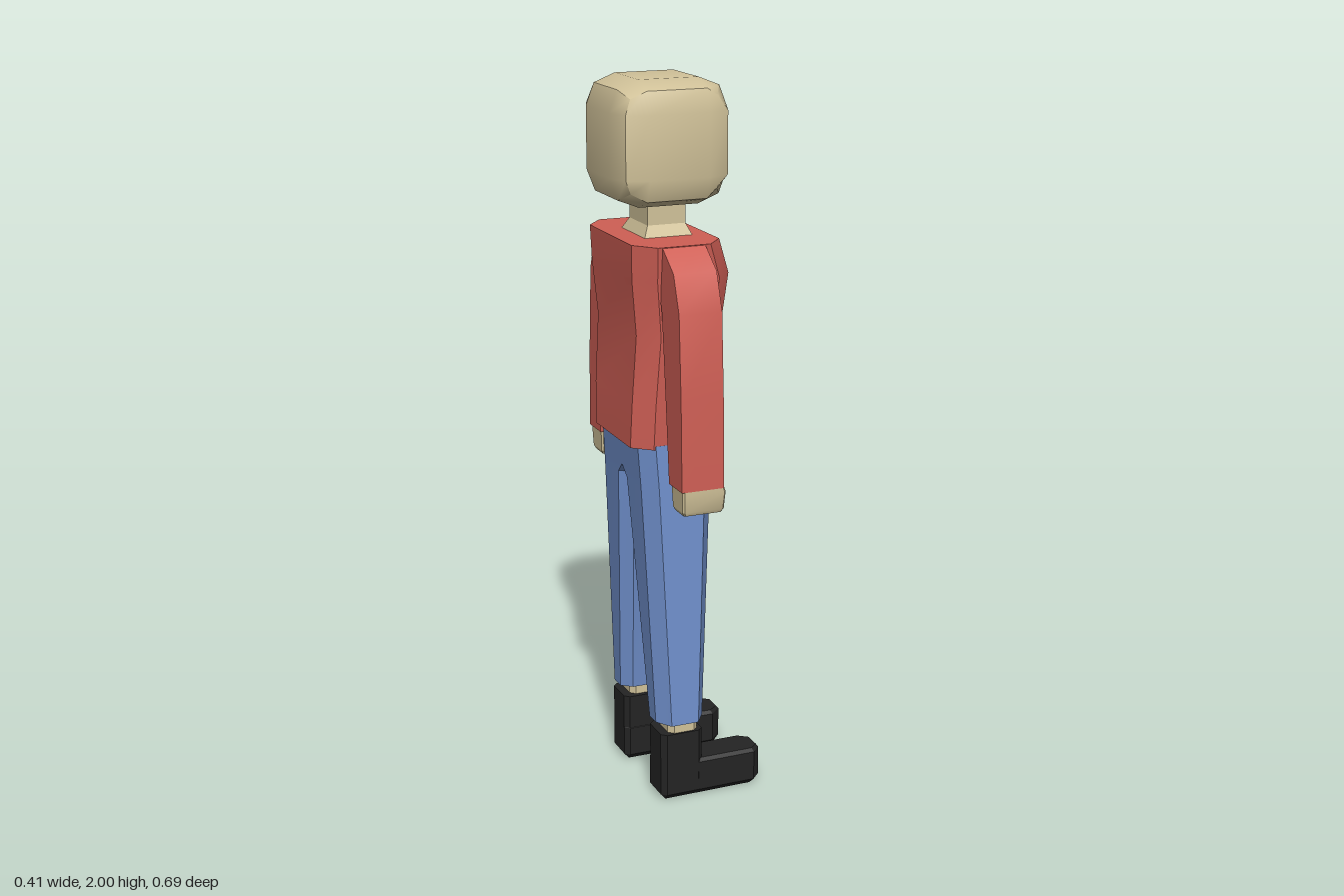
import * as THREE from 'three';
import { toCreasedNormals } from 'three/addons/utils/BufferGeometryUtils.js';

const mat = (color) => new THREE.MeshStandardMaterial({ color });

// Chamfered rectangle at height y; the inner (z0) side may have its own chamfer
const ring = (y, x0, x1, z0, z1, cx, cz, ix = cx, iz = cz) => [
  [x1, y, z0 + iz], [x1 - ix, y, z0], [x0 + ix, y, z0], [x0, y, z0 + iz],
  [x0, y, z1 - cz], [x0 + cx, y, z1], [x1 - cx, y, z1], [x1, y, z1 - cz],
];

// Skin closed loops from bottom to top; side = -1 mirrors across z
function loft(loops, side = 1, crease = 0.42) {
  const rows = side > 0 ? loops
    : loops.map((l) => l.map(([x, y, z]) => [x, y, -z]).reverse());
  const n = rows[0].length, idx = [];
  for (let r = 0; r < rows.length - 1; r++) {
    for (let i = 0; i < n; i++) {
      const a = r * n + i, b = r * n + (i + 1) % n;
      idx.push(a, b, b + n, a, b + n, a + n);
    }
  }
  const top = (rows.length - 1) * n;
  for (let i = 1; i < n - 1; i++) {
    idx.push(0, i + 1, i, top, top + i, top + i + 1);
  }
  const g = new THREE.BufferGeometry();
  g.setAttribute('position', new THREE.Float32BufferAttribute(rows.flat(2), 3));
  g.setIndex(idx);
  return toCreasedNormals(g, crease);
}

// Rounded cube: faces bulge, edges and corners draw in
function headGeometry() {
  const g = new THREE.BoxGeometry(2, 2, 2, 3, 3, 3);
  const p = g.attributes.position;
  const outer = [0, 0.166, 0.143, 0.122];
  for (let i = 0; i < p.count; i++) {
    const v = [p.getX(i), p.getY(i), p.getZ(i)];
    const count = v.filter((c) => Math.abs(c) > 0.9).length;
    p.setXYZ(i, ...v.map((c) => Math.sign(c) * (Math.abs(c) > 0.9 ? outer[count] : 0.084)));
  }
  g.computeVertexNormals();
  return g;
}

export function createModel() {
  const model = new THREE.Group();
  model.name = 'standingFigure';
  const skin = mat(0xd2c39a), red = mat(0xcf5f55), blue = mat(0x7090cc), black = mat(0x242424);
  const add = (name, geometry, material) => {
    const m = new THREE.Mesh(geometry, material);
    m.name = name;
    model.add(m);
    return m;
  };

  // Head and neck
  add('head', headGeometry(), skin).position.set(-0.04, 1.834, 0);
  const rect = (y, x0, x1, z) => [[x1, y, -z], [x0, y, -z], [x0, y, z], [x1, y, z]];
  add('neck', loft([
    rect(1.57, -0.115, 0.035, 0.092), rect(1.615, -0.092, 0.016, 0.065),
    rect(1.7, -0.092, 0.016, 0.065),
  ]), skin);

  // Sweater body
  add('torso', loft([
    ring(1.03, -0.17, 0.09, -0.175, 0.175, 0.05, 0.045),
    ring(1.15, -0.167, 0.094, -0.182, 0.182, 0.05, 0.045),
    ring(1.34, -0.156, 0.085, -0.192, 0.192, 0.05, 0.05),
    ring(1.49, -0.17, 0.105, -0.203, 0.203, 0.05, 0.055),
    ring(1.585, -0.173, 0.075, -0.213, 0.213, 0.05, 0.06),
  ]), red);

  // Sleeve section: inner and outer edges of a trapezoid
  const sleeve = (zi, yi, zo, yo) => [
    [0.035, yi, zi], [-0.11, yi, zi], [-0.11, yo, zo], [0.01, yo, zo],
  ];
  // Boot sole outline with clipped toe and heel corners, inset by d
  const sole = (y, d) => [
    [0.204 - d, y, 0.116], [0.172 - d / 2, y, 0.087 + d], [-0.09, y, 0.087 + d],
    [-0.104 + d, y, 0.1], [-0.104 + d, y, 0.18], [-0.09, y, 0.194 - d],
    [0.178 - d / 2, y, 0.192 - d], [0.204 - d, y, 0.165],
  ];

  for (const [label, s] of [['back', -1], ['front', 1]]) {
    const side = label === 'front' ? 'right' : 'left';
    // Arm and hand
    add(side + 'Sleeve', loft([
      sleeve(0.255, 0.96, 0.343, 0.96), sleeve(0.235, 1.16, 0.336, 1.2),
      sleeve(0.213, 1.36, 0.322, 1.43), sleeve(0.204, 1.43, 0.285, 1.53),
      sleeve(0.19, 1.44, 0.21, 1.585),
    ], s, 0.75), red);
    add(side + 'Hand', loft([
      ring(0.89, -0.098, 0.01, 0.265, 0.33, 0.005, 0.005),
      ring(0.9, -0.103, 0.015, 0.261, 0.335, 0.005, 0.005),
      ring(0.948, -0.105, 0.018, 0.258, 0.34, 0.005, 0.005),
      ring(0.965, -0.106, 0.012, 0.258, 0.34, 0.005, 0.005),
    ], s), skin);

    // Trouser leg, joining its twin above the crotch
    add(side + 'TrouserLeg', loft([
      ring(0.23, -0.11, 0.03, 0.088, 0.204, 0.03, 0.045, 0.03, 0.025),
      ring(0.915, -0.142, 0.06, 0.008, 0.181, 0.035, 0.045, 0.035, 0.024),
      ring(0.945, -0.144, 0.063, 0, 0.18, 0.035, 0.045, 0, 0),
      ring(1.04, -0.15, 0.07, 0, 0.176, 0.035, 0.045, 0, 0),
    ], s), blue);

    // Ankle and boot
    add(side + 'Ankle', loft([
      ring(0.18, -0.08, 0.008, 0.102, 0.188, 0.015, 0.015),
      ring(0.24, -0.08, 0.008, 0.102, 0.188, 0.015, 0.015),
    ], s), skin);
    add(side + 'BootShaft', loft([
      ring(0.05, -0.104, 0.02, 0.088, 0.194, 0.014, 0.014),
      ring(0.2, -0.104, 0.02, 0.088, 0.194, 0.014, 0.014),
    ], s), black);
    add(side + 'BootFoot', loft([
      sole(0, 0.014), sole(0.016, 0), sole(0.1, 0), sole(0.11, 0.008),
    ], s), black);
  }
  return model;
}
